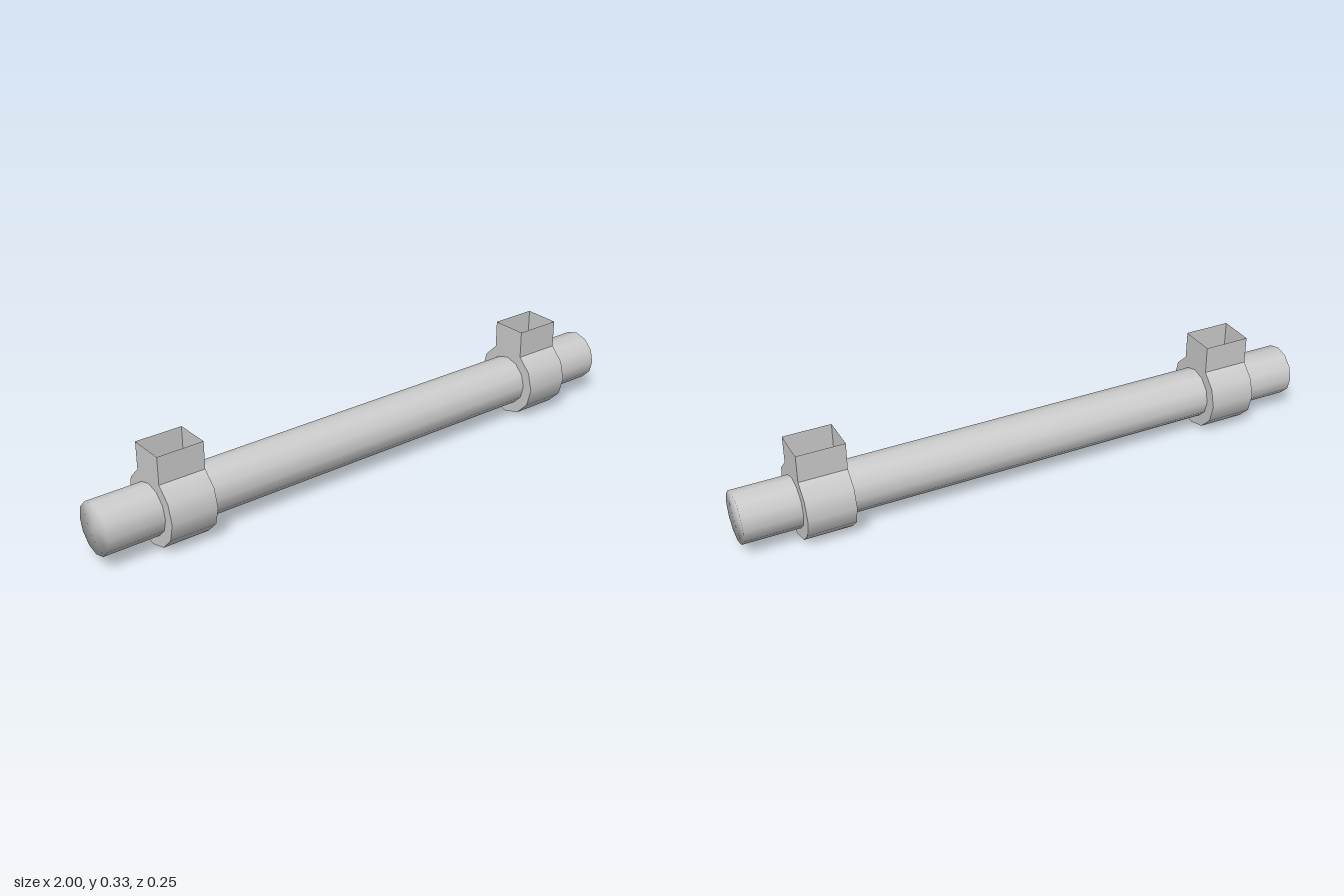
import * as THREE from 'three';
import { mergeVertices } from 'three/addons/utils/BufferGeometryUtils.js';

const BAR_R = 0.086, COLLAR_R = 0.124, AXIS_Y = 0.124;
const WIDTH = 0.16, TOP = 0.325, CLAMP_X = 0.73;

const grey = new THREE.MeshStandardMaterial({ color: 0xcccccc });
const greyThin = new THREE.MeshStandardMaterial({ color: 0xcccccc, side: THREE.DoubleSide });

function part(name, geometry, material) {
  const mesh = new THREE.Mesh(geometry, material);
  mesh.name = name;
  return mesh;
}

// Twelve-sided bar along x, shaded smoothly over its flat ends
function makeBar() {
  const geo = new THREE.CylinderGeometry(BAR_R, BAR_R, 2, 12);
  geo.deleteAttribute('normal');
  geo.deleteAttribute('uv');
  const smooth = mergeVertices(geo);
  smooth.computeVertexNormals();
  smooth.rotateZ(Math.PI / 2);
  const bar = part('bar', smooth, grey);
  bar.position.y = AXIS_Y;
  return bar;
}

// Keyhole-shaped side plate: collar outline plus post, with a hole for the bar
function plateGeometry() {
  const top = TOP - AXIS_Y;
  const ring = (r, i) => new THREE.Vector2(r * Math.sin(i * Math.PI / 6), r * Math.cos(i * Math.PI / 6));
  const outline = [];
  for (let i = 1; i <= 11; i++) outline.push(ring(COLLAR_R, i));
  outline.push(new THREE.Vector2(-COLLAR_R / 2, top), new THREE.Vector2(COLLAR_R / 2, top));
  const shape = new THREE.Shape(outline);
  const hole = [];
  for (let i = 0; i < 12; i++) hole.push(ring(BAR_R, i));
  shape.holes.push(new THREE.Path(hole));
  return new THREE.ShapeGeometry(shape).rotateY(Math.PI / 2);
}

// Clamp: collar wall, two side plates and an open-topped hollow post
function makeClamp(x) {
  const clamp = new THREE.Group();
  clamp.name = 'clamp';
  clamp.position.set(x, AXIS_Y, 0);

  const wall = new THREE.CylinderGeometry(
    COLLAR_R, COLLAR_R, WIDTH, 10, 1, true, Math.PI * 2 / 3, Math.PI * 5 / 3);
  clamp.add(part('collarWall', wall.rotateZ(Math.PI / 2), greyThin));

  const low = COLLAR_R * Math.cos(Math.PI / 6), high = TOP - AXIS_Y;
  for (const s of [-1, 1]) {
    const plate = part('sidePlate', plateGeometry(), greyThin);
    plate.position.x = s * WIDTH / 2;
    if (s < 0) plate.rotation.y = Math.PI;
    const post = part('postWall', new THREE.PlaneGeometry(WIDTH, high - low), greyThin);
    post.position.set(0, (low + high) / 2, s * COLLAR_R / 2);
    if (s < 0) post.rotation.y = Math.PI;
    clamp.add(plate, post);
  }
  return clamp;
}

export function createModel() {
  const model = new THREE.Group();
  model.name = 'barWithClamps';
  model.add(makeBar(), makeClamp(-CLAMP_X), makeClamp(CLAMP_X));
  return model;
}
